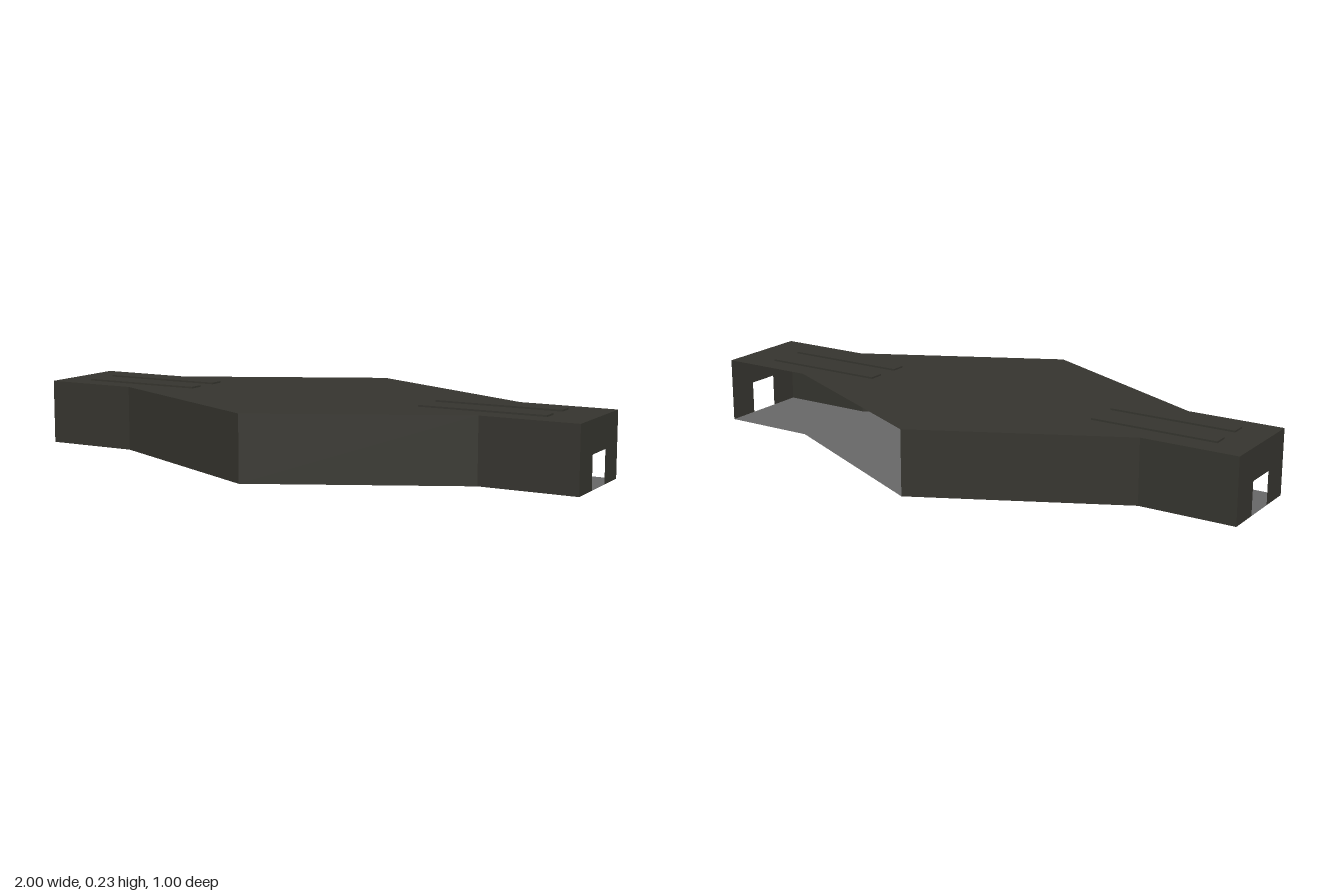
import * as THREE from 'three';

const H = 0.223;          // height of the case
const END = 0.167;        // half width of the straight ends

export function createModel() {
  const model = new THREE.Group();
  const olive = new THREE.MeshStandardMaterial({ color: 0x35342e, side: THREE.DoubleSide });
  olive.name = 'dark olive';
  const oliveOuter = new THREE.MeshStandardMaterial({ color: 0x35342e });
  oliveOuter.name = 'dark olive outer face';
  const grey = new THREE.MeshStandardMaterial({ color: 0x666666, side: THREE.DoubleSide });
  grey.name = 'grey';

  const add = (name, geometry, material) => {
    const mesh = new THREE.Mesh(geometry, material);
    mesh.name = name;
    model.add(mesh);
    return mesh;
  };

  // Vertical sheet along a path of [x, z] points, facing right of the path direction
  const wall = (name, path, material) => {
    const pos = [];
    for (let i = 0; i < path.length - 1; i++) {
      const [ax, az] = path[i], [bx, bz] = path[i + 1];
      pos.push(ax, 0, az, bx, 0, bz, bx, H, bz, ax, 0, az, bx, H, bz, ax, H, az);
    }
    const g = new THREE.BufferGeometry();
    g.setAttribute('position', new THREE.Float32BufferAttribute(pos, 3));
    g.computeVertexNormals();
    return add(name, g, material);
  };

  // Flat plan of the case: a diamond with two straight ends
  const plan = (hole) => {
    const s = new THREE.Shape([
      [1, -END], [1, END], [0.667, END], [0, 0.5], [-0.667, END],
      [-1, END], [-1, -END], [-0.667, -END], [0, -0.5], [0.667, -END],
    ].map(([x, y]) => new THREE.Vector2(x, y)));
    if (hole) s.holes.push(new THREE.Path(hole.map(([x, y]) => new THREE.Vector2(x, y))));
    return new THREE.ShapeGeometry(s).rotateX(-Math.PI / 2);
  };
  const diamond = [[0.337, 0], [0, 0.17], [-0.337, 0], [0, -0.17]];
  add('floor', plan(diamond), grey);
  add('lid', plan().translate(0, H, 0), olive);

  // Side walls; the back wall of the +x half is open
  wall('frontLeftWall', [[0, 0.5], [0.667, END], [1, END]], olive);
  wall('frontRightWall', [[-1, END], [-0.667, END], [0, 0.5]], oliveOuter);
  wall('backRightWall', [[0, -0.5], [-0.667, -END], [-1, -END]], olive);

  // Diamond shaft in the middle
  wall('centreShaft', [...diamond, diamond[0]].reverse(), olive);

  for (const side of [1, -1]) {
    // End wall with a doorway down to the floor
    const s = new THREE.Shape([
      [-END, 0], [-0.057, 0], [-0.057, 0.113], [0.057, 0.113],
      [0.057, 0], [END, 0], [END, H], [-END, H],
    ].map(([x, y]) => new THREE.Vector2(x, y)));
    add('endWall', new THREE.ShapeGeometry(s).rotateY(side * Math.PI / 2).translate(side, 0, 0), olive);

    // Raised strips on the lid with grey undersides
    const x = side > 0 ? 0.643 : -0.67;
    for (const z of [0.066, -0.062]) {
      add('raisedStrip', new THREE.BoxGeometry(0.44, 0.006, 0.052).translate(x, H + 0.003, z), olive);
      add('stripUnderside', new THREE.BoxGeometry(0.44, 0.004, 0.052).translate(x, H - 0.003, z), grey);
    }
  }
  return model;
}
